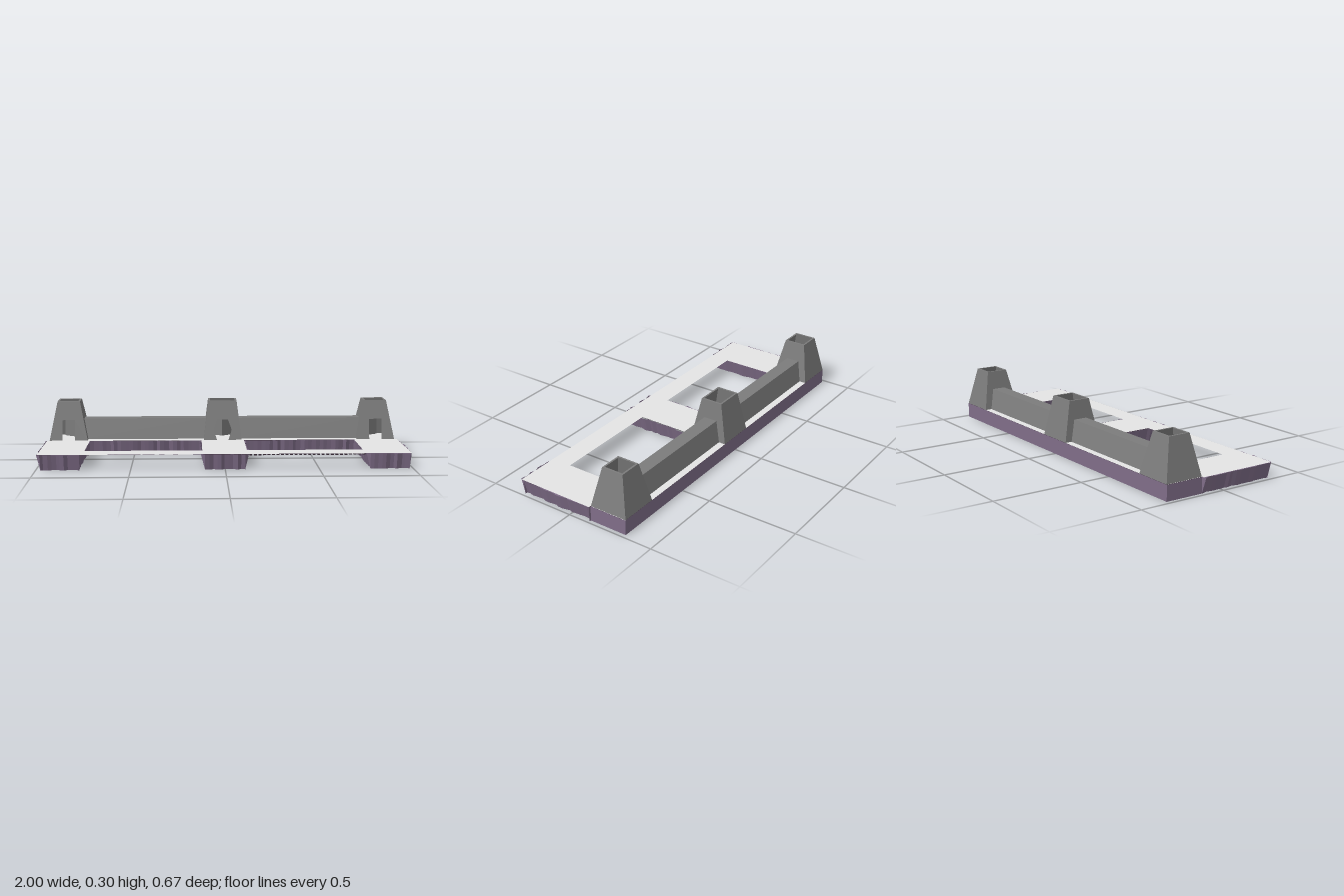
import * as THREE from 'three';

const mat = (name, color) => Object.assign(
  new THREE.MeshStandardMaterial({ color, flatShading: true, side: THREE.DoubleSide }), { name });

const DECK_Y = 0.085, TOP_Y = 0.302, WALL_Z = -0.228;

let seed = 7;
const rand = () => (seed = (seed * 16807) % 2147483647) / 2147483647;

// Flat horizontal plate from [x, z] corners
function plate(name, points, y, material, holes = []) {
  const toV = ([x, z]) => new THREE.Vector2(x, -z);
  const shape = new THREE.Shape(points.map(toV));
  holes.forEach(h => shape.holes.push(new THREE.Path(h.map(toV))));
  const mesh = new THREE.Mesh(new THREE.ShapeGeometry(shape).rotateX(-Math.PI / 2), material);
  mesh.position.y = y;
  mesh.name = name;
  return mesh;
}
const rect = (x0, x1, z0, z1) => [[x0, z0], [x0, z1], [x1, z1], [x1, z0]];

// Upright flat panel between two [x, z] points
function panel(name, [x0, z0], [x1, z1], height, material) {
  const geo = new THREE.PlaneGeometry(Math.hypot(x1 - x0, z1 - z0), height);
  geo.rotateY(-Math.atan2(z1 - z0, x1 - x0)).translate((x0 + x1) / 2, height / 2, (z0 + z1) / 2);
  const mesh = new THREE.Mesh(geo, material);
  mesh.name = name;
  return mesh;
}

// Ragged outline of the rock: straight at the back, upright chips elsewhere
function rockOutline() {
  const corners = [[-0.978, -0.335], [-0.978, -0.12], [-0.988, -0.118], [-0.988, 0.32], [-0.757, 0.32],
    [-0.757, -0.112], [-0.12, -0.112], [-0.12, 0.32], [0.12, 0.32], [0.12, -0.112], [0.757, -0.112],
    [0.757, 0.32], [0.988, 0.32], [0.988, -0.118], [0.978, -0.12], [0.978, -0.335]];
  const ring = [];
  corners.forEach(([x, z], i) => {
    const [x2, z2] = corners[(i + 1) % corners.length];
    const dx = x2 - x, dz = z2 - z, len = Math.hypot(dx, dz);
    const nx = -dz / len, nz = dx / len;
    if (i < 2 || i >= 13) {
      ring.push({ top: [x, z], bottom: [x, z] });
      return;
    }
    const n = Math.round(len / 0.022);
    for (let k = 0; k < n; k++) {
      const t = (k + 0.3 + 0.4 * rand()) / n;
      const out = rand() * 0.012;
      const at = o => [x + dx * t + nx * o, z + dz * t + nz * o];
      ring.push({ top: at(out), bottom: at(out - 0.022) });
    }
  });
  return ring;
}

// Open tapered tower with a doorway in its front and angled facets behind it
function tower(name, x, halfTop, door, facets, material) {
  const group = new THREE.Group();
  group.name = name;
  const base = 0.107, h = TOP_Y - DECK_Y, topZ = 0.062;
  const sides = [['frontWall', halfTop, topZ], ['leftWall', topZ, halfTop],
    ['backWall', halfTop, topZ], ['rightWall', topZ, halfTop]];
  sides.forEach(([part, t, depthTop], turn) => {
    const doorway = turn === 0 ? door : [];
    const outline = [[-base, 0], ...doorway, [base, 0], [t, h], [-t, h]];
    const geo = new THREE.ShapeGeometry(new THREE.Shape(outline.map(p => new THREE.Vector2(...p))));
    const pos = geo.attributes.position;
    // lean each wall inwards
    for (let i = 0; i < pos.count; i++) pos.setZ(i, base + (depthTop - base) * pos.getY(i) / h);
    geo.rotateY(turn * Math.PI / 2);
    const wall = new THREE.Mesh(geo, material);
    wall.name = part;
    group.add(wall);
  });
  const r = 0.01;
  group.add(plate('rim', rect(-halfTop, halfTop, -topZ, topZ), h, material,
    [rect(-halfTop + r, halfTop - r, -topZ + r, topZ - r)]));
  facets.forEach(([a, b]) => group.add(panel('doorFacet', a, b, 0.115, material)));
  group.position.set(x, DECK_Y, WALL_Z);
  return group;
}

export function createModel() {
  const model = new THREE.Group();
  model.name = 'fortifiedLedge';
  const stone = mat('stoneGrey', 0x7c7c7c);
  const paving = mat('pavingGrey', 0xe5e5e5);
  const rock = mat('rockPurple', 0x806e89);
  const shadow = mat('hollowBlack', 0x3a2c39);

  // Paved deck, narrower at the back, with two rectangular openings
  model.add(plate('deck', [[-0.978, -0.335], [-0.978, -0.12], [-0.99, -0.12], [-0.99, 0.32],
    [0.99, 0.32], [0.99, -0.12], [0.978, -0.12], [0.978, -0.335]], DECK_Y, paving,
  [rect(-0.75, -0.12, -0.11, 0.207), rect(0.12, 0.745, -0.11, 0.207)]));

  // Chipped rock walls
  const ring = rockOutline(), verts = [];
  ring.forEach((a, i) => {
    const b = ring[(i + 1) % ring.length];
    const ab = [a.bottom[0], 0, a.bottom[1]], bb = [b.bottom[0], 0, b.bottom[1]];
    const at = [a.top[0], DECK_Y - 0.001, a.top[1]], bt = [b.top[0], DECK_Y - 0.001, b.top[1]];
    verts.push(...ab, ...bb, ...bt, ...ab, ...bt, ...at);
  });
  const wallGeo = new THREE.BufferGeometry();
  wallGeo.setAttribute('position', new THREE.Float32BufferAttribute(verts, 3));
  wallGeo.computeVertexNormals();
  const rockWalls = new THREE.Mesh(wallGeo, rock);
  rockWalls.name = 'rockWalls';
  model.add(rockWalls);

  // Closed undersides and inner ends of the end legs
  for (const s of [-1, 1]) {
    const side = s > 0 ? 'left' : 'right';
    const pts = ring.map(p => p.bottom).filter(([x, z]) => s * x > 0.752 && z > -0.125);
    model.add(plate(side + 'LegUnderside', pts, 0, rock));
    model.add(panel(side + 'LegInnerEnd', [s * 0.757, -0.122], [s * 0.978, -0.122], 0.083, rock));
  }

  // Dark hollow beneath the back bar and middle leg
  model.add(plate('hollowCeiling', [[-0.976, -0.333], [-0.976, -0.115], [-0.115, -0.115], [-0.115, 0.315],
    [0.115, 0.315], [0.115, -0.115], [0.976, -0.115], [0.976, -0.333]], 0.081, shadow));

  // Small dark teeth under the front strip of the left opening
  for (let i = 0; i < 26; i++) {
    const tooth = new THREE.Mesh(new THREE.BoxGeometry(0.014, 0.007, 0.05), shadow);
    tooth.name = 'stripTooth';
    tooth.position.set(0.135 + i * 0.024, DECK_Y - 0.005, 0.29);
    model.add(tooth);
  }

  // Towers
  const square = [[-0.035, 0], [-0.035, 0.113], [0.035, 0.113], [0.035, 0]];
  const arch = [[-0.032, 0], [-0.052, 0.055], [-0.03, 0.113], [0.03, 0.113], [0.052, 0.055], [0.032, 0]];
  const facing = (x0, x1, d) => [[x0, -0.082], [x1, -0.082 + d]];
  model.add(tower('rightTower', -0.869, 0.063, square, [facing(-0.038, 0.038, 0.06)], stone));
  model.add(tower('middleTower', 0, 0.08, arch,
    [facing(-0.055, 0, 0.045), facing(0.055, 0, 0.045)], stone));
  model.add(tower('leftTower', 0.869, 0.063, square, [facing(0.038, -0.038, 0.06)], stone));

  // Sloped curtain walls between the towers
  const section = new THREE.Shape([[-0.066, 0], [0.066, 0], [0.038, 0.115], [-0.038, 0.115]]
    .map(p => new THREE.Vector2(...p)));
  for (const s of [-1, 1]) {
    const geo = new THREE.ExtrudeGeometry(section, { depth: 0.7, bevelEnabled: false });
    geo.translate(0, 0, -0.35).rotateY(Math.PI / 2);
    const wall = new THREE.Mesh(geo, stone);
    wall.name = s > 0 ? 'leftCurtainWall' : 'rightCurtainWall';
    wall.position.set(s * 0.438, DECK_Y, WALL_Z - 0.003);
    model.add(wall);
  }
  return model;
}
